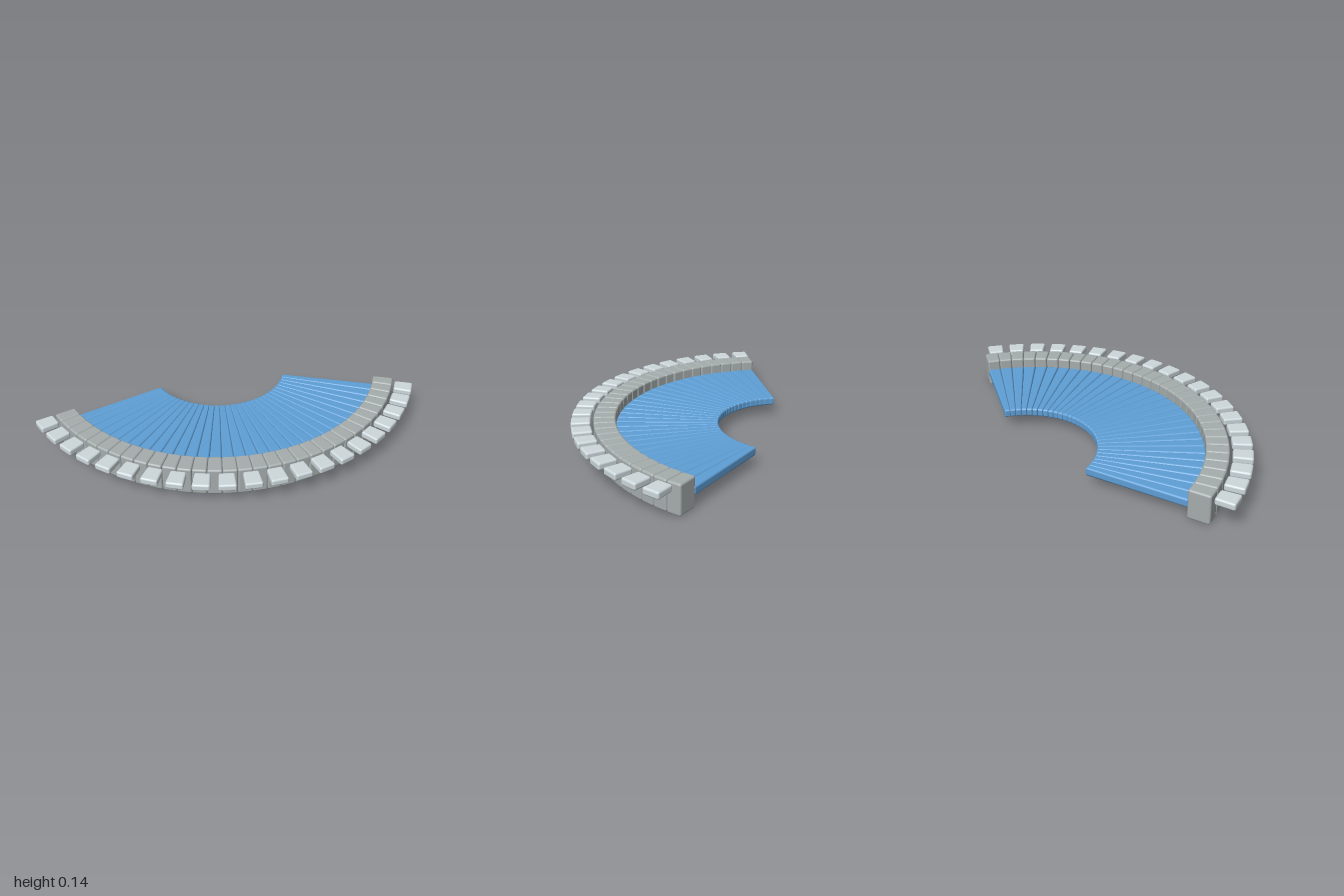
import * as THREE from 'three';
import { RoundedBoxGeometry } from 'three/addons/geometries/RoundedBoxGeometry.js';

const CENTRE_Z = -0.607;             // centre of the arc
const COUNT = 32;                    // wedge segments
const STEP = THREE.MathUtils.degToRad(4.29);
const CAP_COUNT = 21;                // outer caps
const CAP_STEP = THREE.MathUtils.degToRad(6.56);

// Rounded block reaching from radius r0 to r1, width w0 inside and w1 outside
function wedge(r0, r1, w0, w1, y0, y1, round) {
  const length = r1 - r0;
  const geo = new RoundedBoxGeometry(w1, y1 - y0, length, 3, round);
  const p = geo.attributes.position;
  for (let i = 0; i < p.count; i++) {
    const t = p.getZ(i) / length + 0.5;
    p.setX(i, p.getX(i) * THREE.MathUtils.lerp(w0 / w1, 1, t));
  }
  geo.translate(0, (y0 + y1) / 2, (r0 + r1) / 2);
  return geo;
}

// Repeats a block around the arc
function fan(name, geometry, color, count, start, step) {
  const group = new THREE.Group();
  group.name = name + 's';
  const material = new THREE.MeshStandardMaterial({ color });
  for (let i = 0; i < count; i++) {
    const mesh = new THREE.Mesh(geometry, material);
    mesh.name = name;
    mesh.rotation.y = start + i * step;
    group.add(mesh);
  }
  return group;
}

export function createModel() {
  const model = new THREE.Group();
  model.name = 'curvedFan';
  const start = -STEP * (COUNT - 1) / 2;
  const wide = (r) => 2 * r * Math.tan(STEP / 2) - 0.001;

  // Long tapered slats
  const slat = wedge(0.365, 0.87, wide(0.365), wide(0.87), 0.053, 0.095, 0.01);
  // Tall blocks around the slats
  const block = wedge(0.865, 0.973, wide(0.865), wide(0.973), 0, 0.145, 0.01);
  // Thin separate caps around the outside
  const cap = wedge(0.985, 1.08, 0.075, 0.086, 0.11, 0.145, 0.01);

  model.add(
    fan('slat', slat, 0x5f9fd6, COUNT, start, STEP),
    fan('rimBlock', block, 0xa6adad, COUNT, start, STEP),
    fan('outerCap', cap, 0xcdd8dc, CAP_COUNT, start, CAP_STEP),
  );
  model.children.forEach((part) => { part.position.z = CENTRE_Z; });
  return model;
}
